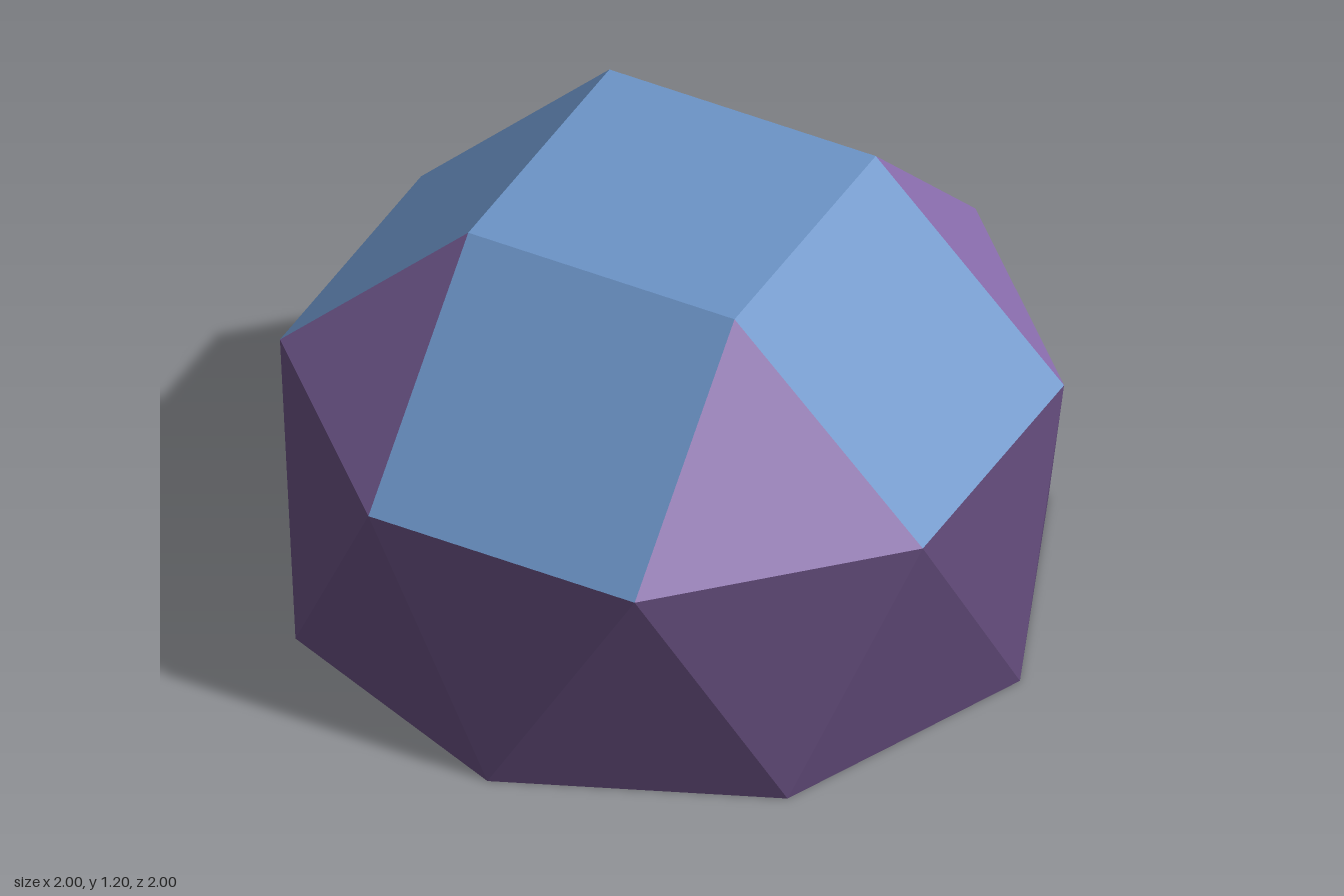
import * as THREE from 'three';

const BASE_Y = 0, RING_Y = 0.66, TOP_Y = 1.2;

// Point on a circle: angle in degrees measured from the front (+z) towards +x
function point(radius, degrees, y) {
  const a = THREE.MathUtils.degToRad(degrees);
  return new THREE.Vector3(radius * Math.sin(a), y, radius * Math.cos(a));
}

// Flat-faced mesh from convex polygons, corners counter-clockwise from outside
function facets(name, polygons, material) {
  const points = [];
  for (const p of polygons)
    for (let i = 1; i < p.length - 1; i++) points.push(p[0], p[i], p[i + 1]);
  const geometry = new THREE.BufferGeometry().setFromPoints(points);
  geometry.computeVertexNormals();
  const mesh = new THREE.Mesh(geometry, material);
  mesh.name = name;
  return mesh;
}

function paint(name, color) {
  const material = new THREE.MeshStandardMaterial({ color });
  material.name = name;
  return material;
}

export function createModel() {
  const blue = paint('blue', 0x6b93c6);
  const lilac = paint('lilac', 0x8a6dae);
  const plum = paint('plum', 0x624b7a);

  // Corner rings: base octagon, octagon turned by half a step, top square
  const base = (k) => point(1, 45 * k, BASE_Y);
  const ring = (k) => point(1, 22.5 + 45 * k, RING_Y);
  const top = (k) => point(0.5412, 45 + 90 * k, TOP_Y);

  const squares = [], corners = [], band = [];
  for (let i = 0; i < 4; i++) {
    squares.push([ring(2 * i - 1), ring(2 * i), top(i), top(i - 1)]);
    corners.push([ring(2 * i), ring(2 * i + 1), top(i)]);
  }
  for (let k = 0; k < 8; k++) {
    band.push([base(k), base(k + 1), ring(k)]);
    band.push([base(k), ring(k), ring(k - 1)]);
  }
  const topSquare = [0, 1, 2, 3].map(top);
  const bottom = [7, 6, 5, 4, 3, 2, 1, 0].map(base);

  const group = new THREE.Group();
  group.name = 'gyroelongatedSquareCupola';
  group.add(
    facets('topSquare', [topSquare], blue),
    facets('slopingSquares', squares, blue),
    facets('cornerTriangles', corners, lilac),
    facets('triangleBand', band, plum),
    facets('bottomOctagon', [bottom], plum),
  );
  return group;
}
